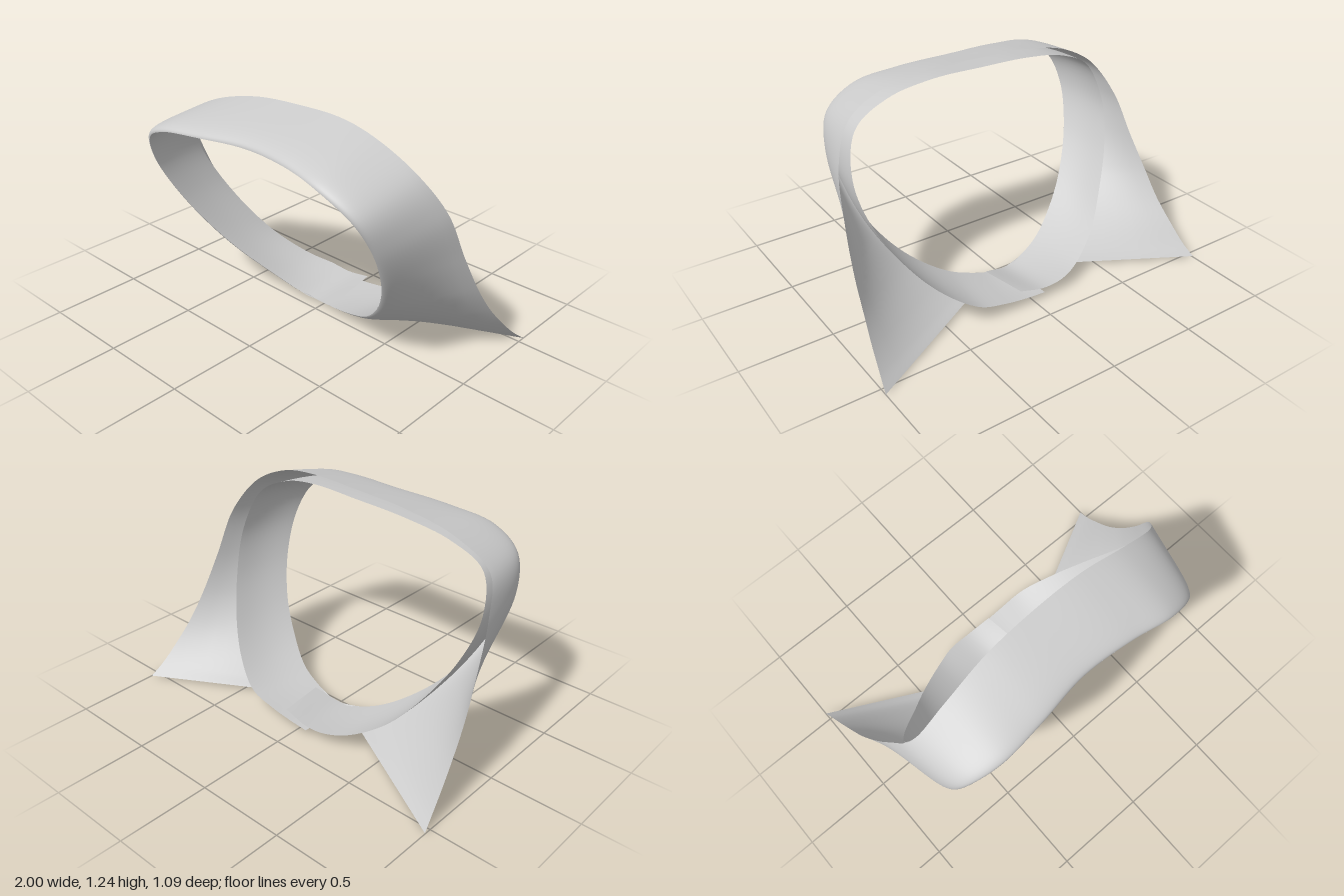
import * as THREE from 'three';

const material = new THREE.MeshStandardMaterial({ color: 0xcccccc, side: THREE.DoubleSide });
const curve = (pts) => new THREE.CatmullRomCurve3(pts.map((p) => new THREE.Vector3(...p)));

// Sheet made of cross-sections: section(t, s) gives a point along (t) and across (s)
function sheet(name, along, across, section) {
  const pos = [], index = [];
  for (let i = 0; i <= along; i++) {
    for (let j = 0; j <= across; j++) {
      pos.push(...section(i / along, j / across).toArray());
      if (i < along && j < across) {
        const a = i * (across + 1) + j, b = a + across + 1;
        index.push(a, a + 1, b, b, a + 1, b + 1);
      }
    }
  }
  const g = new THREE.BufferGeometry();
  g.setAttribute('position', new THREE.Float32BufferAttribute(pos, 3));
  g.setIndex(index);
  g.computeVertexNormals();
  const mesh = new THREE.Mesh(g, material);
  mesh.name = name;
  return mesh;
}

// Fold line, from the right front end over the back of the neck to the left front end
const fold = [
  [-0.05, 0.03, -0.04], [-0.16, 0.05, -0.02], [-0.3, 0.11, 0.02], [-0.47, 0.23, 0.11],
  [-0.6, 0.37, 0.2], [-0.72, 0.58, 0.32], [-0.77, 0.8, 0.43], [-0.72, 0.97, 0.5],
  [-0.55, 1.06, 0.54], [-0.3, 1.09, 0.52], [0, 1.105, 0.48], [0.3, 1.1, 0.5],
  [0.52, 1.065, 0.53], [0.69, 0.96, 0.5], [0.74, 0.8, 0.42], [0.71, 0.58, 0.31],
  [0.61, 0.37, 0.2], [0.47, 0.21, 0.11], [0.3, 0.1, 0.02], [0.15, 0.05, -0.02],
  [0.05, 0.03, -0.04],
];

// Free edge of the turned-down leaf, from point to point
const leafEdge = [
  [-1, 0.005, -0.54], [-0.985, 0.06, -0.47], [-0.97, 0.15, -0.38], [-0.95, 0.28, -0.265],
  [-0.935, 0.42, -0.17], [-0.905, 0.62, -0.05], [-0.87, 0.83, 0.06], [-0.79, 1.0, 0.17],
  [-0.58, 1.13, 0.165], [-0.3, 1.205, 0.13], [0, 1.23, 0.115], [0.3, 1.235, 0.12],
  [0.55, 1.19, 0.14], [0.76, 1.08, 0.125], [0.87, 0.9, 0.04], [0.91, 0.65, -0.06],
  [0.935, 0.43, -0.17], [0.95, 0.28, -0.27], [0.97, 0.15, -0.38], [0.985, 0.06, -0.47],
  [1, 0, -0.545],
];

// Lower edge of the neck band, with an overlapping tab at each end
const bandEdge = [
  [0.08, 0.09, -0.35], [-0.07, 0.06, -0.36], [-0.2, 0.07, -0.355], [-0.33, 0.1, -0.31],
  [-0.5, 0.2, -0.22], [-0.63, 0.35, -0.12], [-0.76, 0.58, 0], [-0.81, 0.8, 0.1],
  [-0.75, 1.0, 0.17], [-0.56, 1.1, 0.165], [-0.3, 1.155, 0.135], [0, 1.175, 0.12],
  [0.3, 1.18, 0.12], [0.54, 1.13, 0.14], [0.73, 1.02, 0.125], [0.8, 0.8, 0.05],
  [0.76, 0.57, -0.05], [0.64, 0.35, -0.18], [0.5, 0.2, -0.28], [0.34, 0.1, -0.35],
  [0.18, 0.06, -0.36], [0.05, 0.04, -0.36], [-0.07, 0.03, -0.36],
];

export function createModel() {
  const group = new THREE.Group();
  group.name = 'shirtCollar';

  // Leaf: rolls outward over the fold, then runs to its free edge
  const foldCurve = curve(fold), leafCurve = curve(leafEdge);
  const leaf = sheet('collarLeaf', 160, 20, (t, s) => {
    const f = foldCurve.getPoint(t), l = leafCurve.getPoint(t);
    const fade = Math.min(1, Math.min(t, 1 - t) * 5);
    const out = new THREE.Vector3(f.x, f.y - 0.6, 0).normalize().multiplyScalar(fade);
    const p1 = f.clone().addScaledVector(out, 0.05);
    const p2 = f.clone().lerp(l, 0.35).addScaledVector(out, 0.03);
    return new THREE.CubicBezierCurve3(f, p1, p2, l).getPoint(s * (0.4 + 0.6 * s));
  });

  // Neck band: inside the fold, its ends lapped over each other at the front
  const bandTop = curve([[0.12, 0.08, -0.08], ...fold, [-0.07, 0.03, -0.04]]);
  const bandLow = curve(bandEdge);
  const band = sheet('neckBand', 160, 8, (t, s) => {
    const p = bandTop.getPoint(t).lerp(bandLow.getPoint(t), s);
    const bow = 0.012 * Math.sin(Math.PI * s) * Math.min(1, Math.min(t, 1 - t) * 6);
    return p.add(new THREE.Vector3(p.x, p.y - 0.6, 0).normalize().multiplyScalar(bow));
  });

  group.add(leaf, band);
  return group;
}
